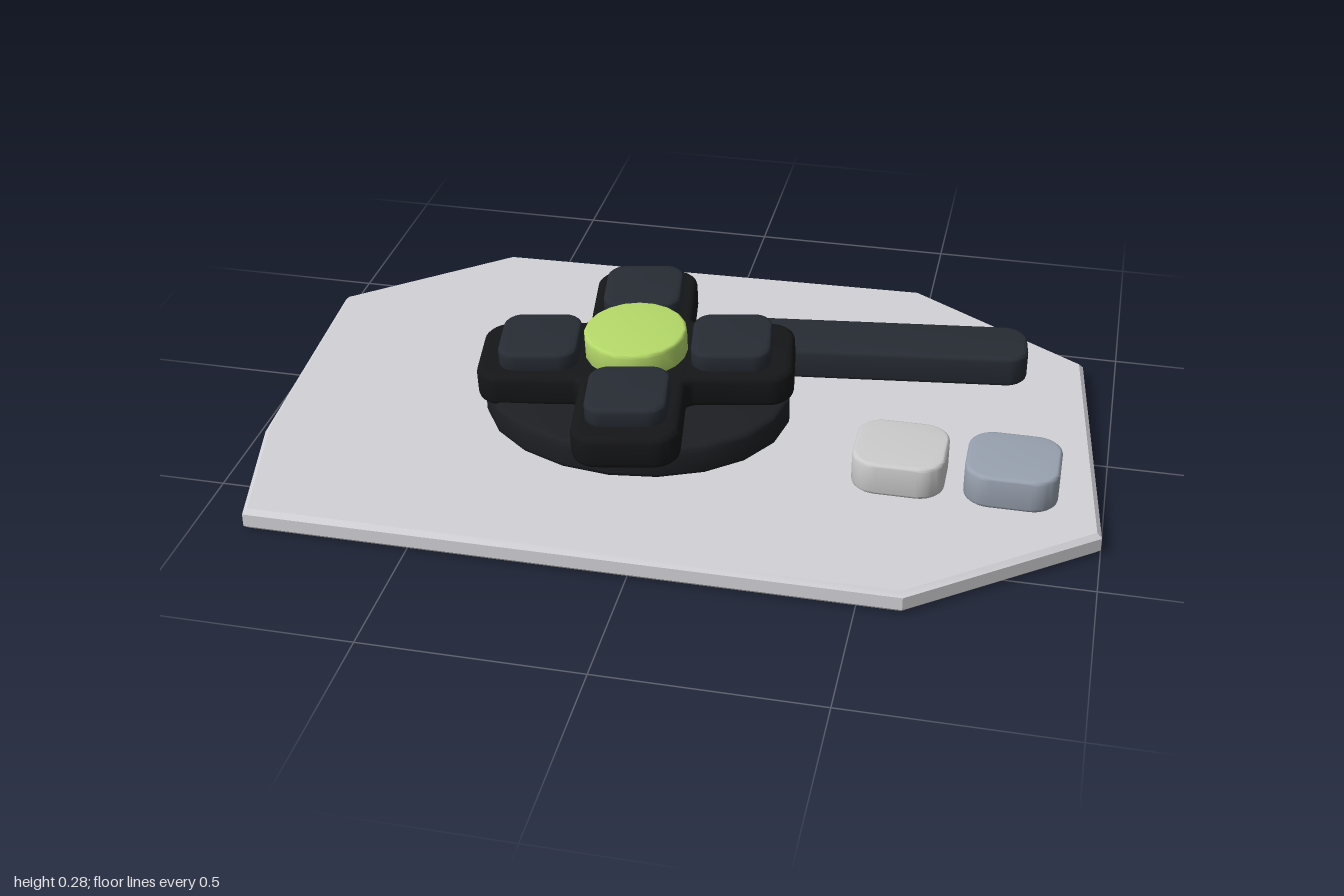
import * as THREE from 'three';
import { toCreasedNormals } from 'three/addons/utils/BufferGeometryUtils.js';

const mat = (color) => new THREE.MeshStandardMaterial({ color });
const COLORS = {
  plate: mat(0xd3d2d7), disc: mat(0x1d1f23), cross: mat(0x151618),
  pad: mat(0x272c34), lime: mat(0xb4d868), white: mat(0xd4d4d6), blue: mat(0x98a1af),
};

// Flat slab standing on y = 0, with bevelled top and bottom rims
function slab(name, shape, height, bevel, material, segments = 3) {
  const geo = new THREE.ExtrudeGeometry(shape, {
    depth: height - 2 * bevel, bevelThickness: bevel, bevelSize: bevel,
    bevelOffset: -bevel, bevelSegments: segments, curveSegments: 10,
  });
  geo.translate(0, 0, bevel);
  geo.rotateX(-Math.PI / 2);
  const mesh = new THREE.Mesh(toCreasedNormals(geo, 0.6), material);
  mesh.name = name;
  return mesh;
}

// Closed outline whose corners are rounded; each point is [x, y, radius]
function roundedOutline(points) {
  const shape = new THREE.Shape();
  const n = points.length;
  points.forEach(([x, y, r], i) => {
    const p = new THREE.Vector2(x, y);
    const toward = (q) => new THREE.Vector2(q[0], q[1]).sub(p).setLength(r).add(p);
    const a = toward(points[(i + n - 1) % n]);
    const b = toward(points[(i + 1) % n]);
    if (i === 0) shape.moveTo(a.x, a.y);
    else shape.lineTo(a.x, a.y);
    // Control handles approximating a circular arc
    const k = 0.552;
    const c = a.clone().lerp(p, k), d = b.clone().lerp(p, k);
    shape.bezierCurveTo(c.x, c.y, d.x, d.y, b.x, b.y);
  });
  shape.closePath();
  return shape;
}

const roundedRect = (w, h, r) => roundedOutline([
  [-w / 2, -h / 2, r], [w / 2, -h / 2, r], [w / 2, h / 2, r], [-w / 2, h / 2, r],
]);

const ellipse = (rx, ry) => {
  const shape = new THREE.Shape();
  shape.absellipse(0, 0, rx, ry, 0, Math.PI * 2);
  return shape;
};

export function createModel() {
  const model = new THREE.Group();
  model.name = 'controlPanel';
  const top = 0.053;

  // Irregular eight-sided base plate, given as x, z
  const corners = [
    [-0.88, 0.667], [0.6, 0.667], [1, 0.36], [0.92, -0.38],
    [0.475, -0.672], [-0.635, -0.645], [-1, -0.33], [-0.96, 0.33],
  ];
  const outline = new THREE.Shape(corners.map(([x, z]) => new THREE.Vector2(x, -z)));
  const plate = slab('basePlate', outline, top, 0.011, COLORS.plate, 1);
  model.add(plate);

  // Oval pedestal under the pad
  const disc = slab('pedestal', ellipse(0.367, 0.308), 0.076, 0.014, COLORS.disc);
  disc.position.set(-0.115, top, 0.058);
  model.add(disc);

  // Long bar running off to the back
  const bar = slab('bar', roundedRect(0.83, 0.165, 0.055), 0.078, 0.01, COLORS.pad);
  bar.position.set(0.37, top, -0.261);
  bar.rotation.y = 0.128;
  model.add(bar);

  // Two small buttons
  [['paleButton', 0.535, COLORS.white], ['greyButton', 0.79, COLORS.blue]].forEach(([name, x, m]) => {
    const button = slab(name, roundedRect(0.212, 0.2, 0.06), 0.081, 0.008, m);
    button.position.set(x, top, 0.211);
    model.add(button);
  });

  // Tilted directional pad, turned on its axis
  const pad = new THREE.Group();
  pad.name = 'directionalPad';
  pad.position.set(-0.115, 0.135, 0.055);
  pad.rotation.set(0.055, 0.145, 0.03, 'XZY');
  model.add(pad);

  // Cross outline: one arm turned four times
  const L = 0.373, W = 0.124, crossPoints = [];
  for (let i = 0; i < 4; i++) {
    const c = Math.round(Math.cos(i * Math.PI / 2)), s = Math.round(Math.sin(i * Math.PI / 2));
    [[L, -W, 0.06], [L, W, 0.06], [W, W, 0.025]].forEach(([x, y, r]) =>
      crossPoints.push([x * c - y * s, x * s + y * c, r]));
  }
  pad.add(slab('cross', roundedOutline(crossPoints), 0.082, 0.016, COLORS.cross));

  // Raised key on each arm
  for (let i = 0; i < 4; i++) {
    const a = i * Math.PI / 2;
    const key = slab('armKey', roundedRect(0.188, 0.188, 0.045), 0.055, 0.01, COLORS.pad);
    key.position.set(0.227 * Math.cos(a), 0.07, 0.227 * Math.sin(a));
    pad.add(key);
  }

  // Round centre button
  const centre = slab('centreButton', ellipse(0.122, 0.122), 0.07, 0.008, COLORS.lime);
  centre.position.y = 0.07;
  pad.add(centre);

  return model;
}
